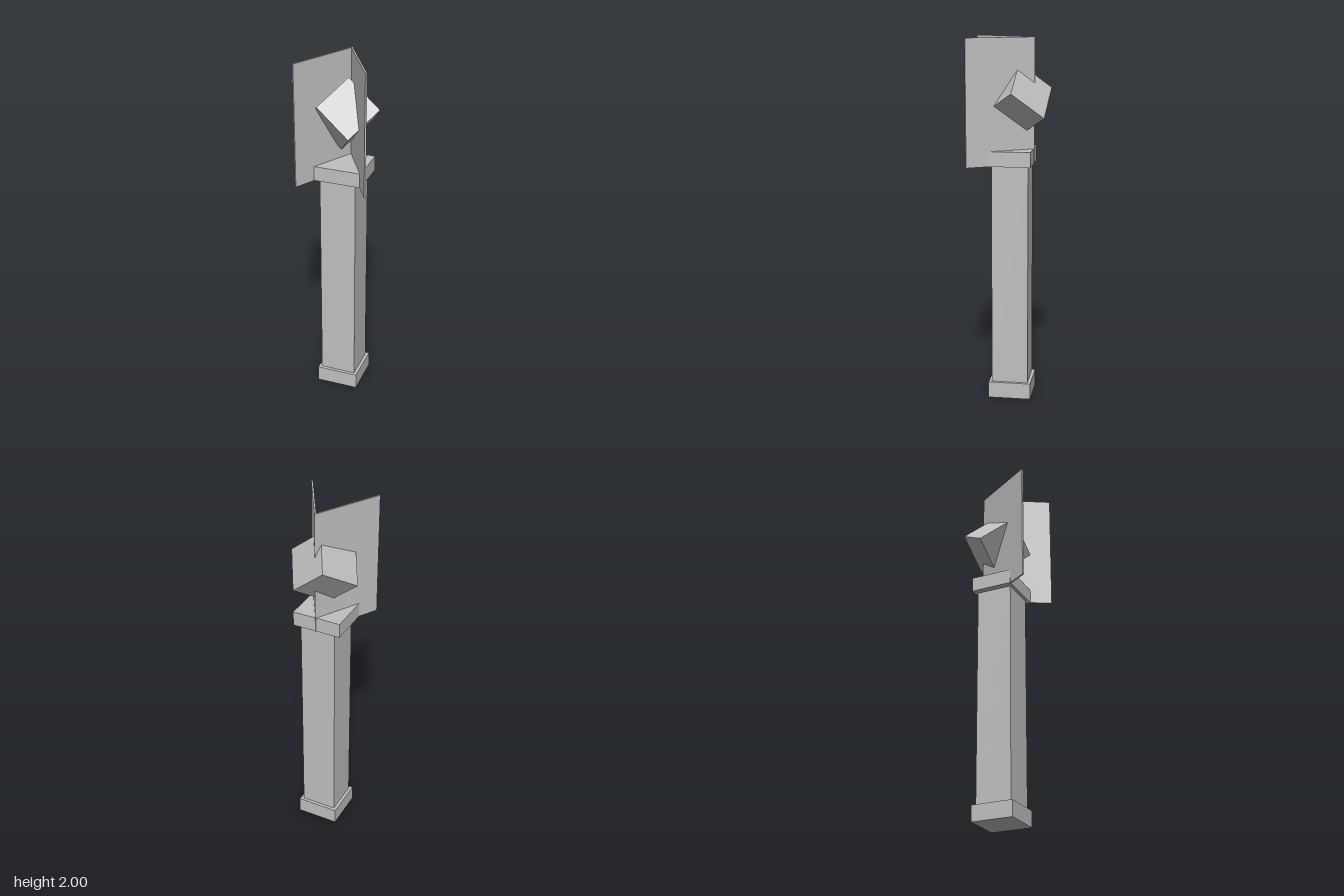
import * as THREE from 'three';

export function createModel() {
  const model = new THREE.Group();
  const stone = new THREE.MeshStandardMaterial({ color: 0xc0c0c0 });
  stone.name = 'plain grey';

  const add = (name, geometry, x = 0, y = 0, z = 0) => {
    const mesh = new THREE.Mesh(geometry, stone);
    mesh.name = name;
    mesh.position.set(x, y, z);
    model.add(mesh);
    return mesh;
  };
  // Upright block between two heights
  const block = (name, width, depth, bottom, top) =>
    add(name, new THREE.BoxGeometry(width, top - bottom, depth), 0, (bottom + top) / 2, -0.011);

  // Pedestal
  block('base', 0.235, 0.235, 0, 0.09);
  block('post', 0.2, 0.2, 0.09, 1.32);
  block('cap', 0.273, 0.235, 1.318, 1.4);

  // Two thin panels meeting in a V at the back, open to the front
  const profile = [
    [0, 0.133], [0.1975, -0.208], [0.1895, -0.213], [0, 0.115],
    [-0.1895, -0.213], [-0.1975, -0.208],
  ].map(([x, y]) => new THREE.Vector2(x, y));
  const panels = new THREE.ExtrudeGeometry(new THREE.Shape(profile), { depth: 0.682, bevelEnabled: false });
  panels.rotateX(-Math.PI / 2);
  add('foldedPanels', panels, 0.0025, 1.318, 0);

  // Cube balanced on a corner, passing through the fold
  const cube = add('tiltedCube', new THREE.BoxGeometry(0.235, 0.235, 0.235), -0.004, 1.66, -0.04);
  const xAxis = new THREE.Vector3(0.18, -0.149, 0.02).normalize();
  const yAxis = new THREE.Vector3(-0.117, -0.119, 0.166).normalize();
  const zAxis = xAxis.clone().cross(yAxis).normalize();
  yAxis.crossVectors(zAxis, xAxis);
  cube.setRotationFromMatrix(new THREE.Matrix4().makeBasis(xAxis, yAxis, zAxis));

  return model;
}
